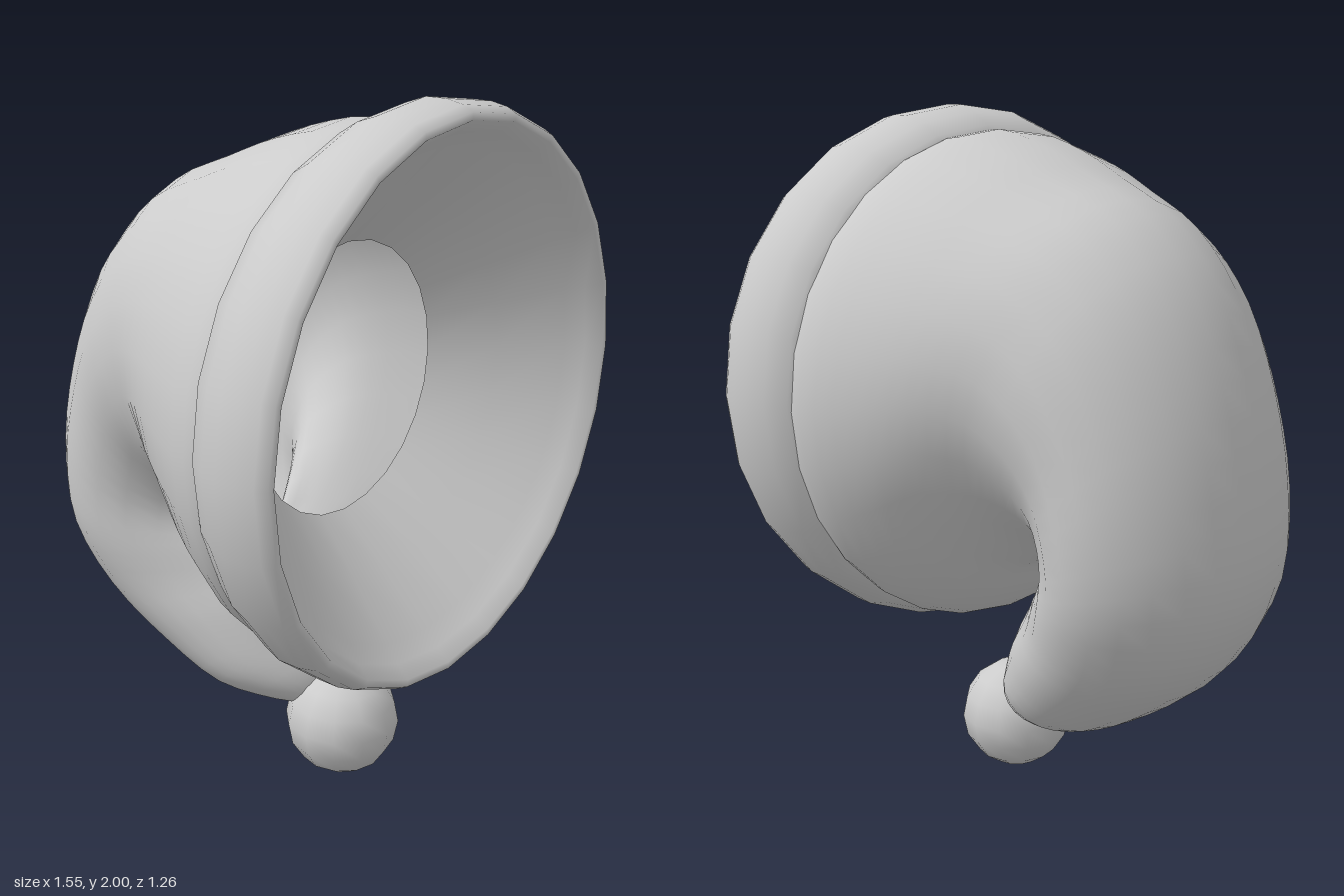
import * as THREE from 'three';

const material = new THREE.MeshStandardMaterial({ color: 0xcccccc, side: THREE.DoubleSide });

function addMesh(group, name, geometry) {
  const mesh = new THREE.Mesh(geometry, material);
  mesh.name = name;
  group.add(mesh);
  return mesh;
}

// Skin of oval rings, each spanning an upper and a lower edge point in the x = 0 plane;
// pinch narrows a ring towards its lower edge
function loft(sections, rings, segments) {
  const upper = new THREE.CatmullRomCurve3(sections.map(s => new THREE.Vector3(0, s[1], s[0])));
  const lower = new THREE.CatmullRomCurve3(sections.map(s => new THREE.Vector3(0, s[3], s[2])));
  const shape = new THREE.CatmullRomCurve3(sections.map((s, i) => new THREE.Vector3(s[4], i, s[5])));
  const positions = [], indices = [];
  for (let i = 0; i <= rings; i++) {
    const t = i / rings;
    const a = upper.getPoint(t), b = lower.getPoint(t);
    const { x: halfWidth, z: pinch } = shape.getPoint(t);
    for (let j = 0; j < segments; j++) {
      const angle = (j / segments) * Math.PI * 2;
      const down = (1 - Math.cos(angle)) / 2;
      const p = a.clone().lerp(b, down);
      positions.push(halfWidth * Math.sin(angle) * (1 - pinch * down ** 3), p.y, p.z);
      if (i < rings) {
        const k = i * segments + j, n = i * segments + (j + 1) % segments;
        indices.push(k, n, k + segments, n, n + segments, k + segments);
      }
    }
  }
  const geometry = new THREE.BufferGeometry();
  geometry.setAttribute('position', new THREE.Float32BufferAttribute(positions, 3));
  geometry.setIndex(indices);
  geometry.computeVertexNormals();
  return geometry;
}

export function createModel() {
  const hat = new THREE.Group();
  hat.name = 'floppyHat';

  // Drooping cloth: upper z, upper y, lower z, lower y, half width, pinch
  addMesh(hat, 'cloth', loft([
    [0.42, 1.91, 0.42, 0.52, 0.69, 0],
    [0.31, 1.93, 0.33, 0.48, 0.71, 0],
    [0.12, 1.89, 0.20, 0.57, 0.65, 0],
    [-0.06, 1.82, 0.10, 0.68, 0.58, 0.05],
    [-0.27, 1.73, 0.05, 0.71, 0.51, 0.25],
    [-0.43, 1.57, 0.02, 0.72, 0.48, 0.5],
    [-0.55, 1.32, 0.00, 0.73, 0.46, 0.75],
    [-0.62, 1.03, -0.01, 0.72, 0.45, 0.75],
    [-0.63, 0.74, 0.01, 0.70, 0.42, 0.45],
    [-0.52, 0.50, 0.04, 0.64, 0.36, 0.2],
    [-0.30, 0.32, 0.08, 0.56, 0.30, 0],
    [-0.10, 0.22, 0.14, 0.44, 0.24, 0],
    [0.07, 0.20, 0.20, 0.33, 0.14, 0],
    [0.20, 0.20, 0.22, 0.22, 0.02, 0],
  ], 39, 28));

  // Puffy brim, rolled over a rounded lip into a funnel with an open hole: radius, z
  const profile = [
    [0.68, 0.35], [0.72, 0.36], [0.755, 0.42], [0.775, 0.48], [0.775, 0.54], [0.765, 0.59],
    [0.75, 0.62], [0.73, 0.62], [0.70, 0.58], [0.66, 0.535], [0.52, 0.395], [0.38, 0.25],
  ];
  const brim = addMesh(hat, 'brim', new THREE.LatheGeometry(profile.map(p => new THREE.Vector2(...p)), 24));
  brim.rotation.x = Math.PI / 2;
  brim.position.y = 1.22;

  // Pompom at the tip
  const pompom = addMesh(hat, 'pompom', new THREE.SphereGeometry(0.167, 12, 8));
  pompom.position.set(0.02, 0.167, 0.24);

  return hat;
}
